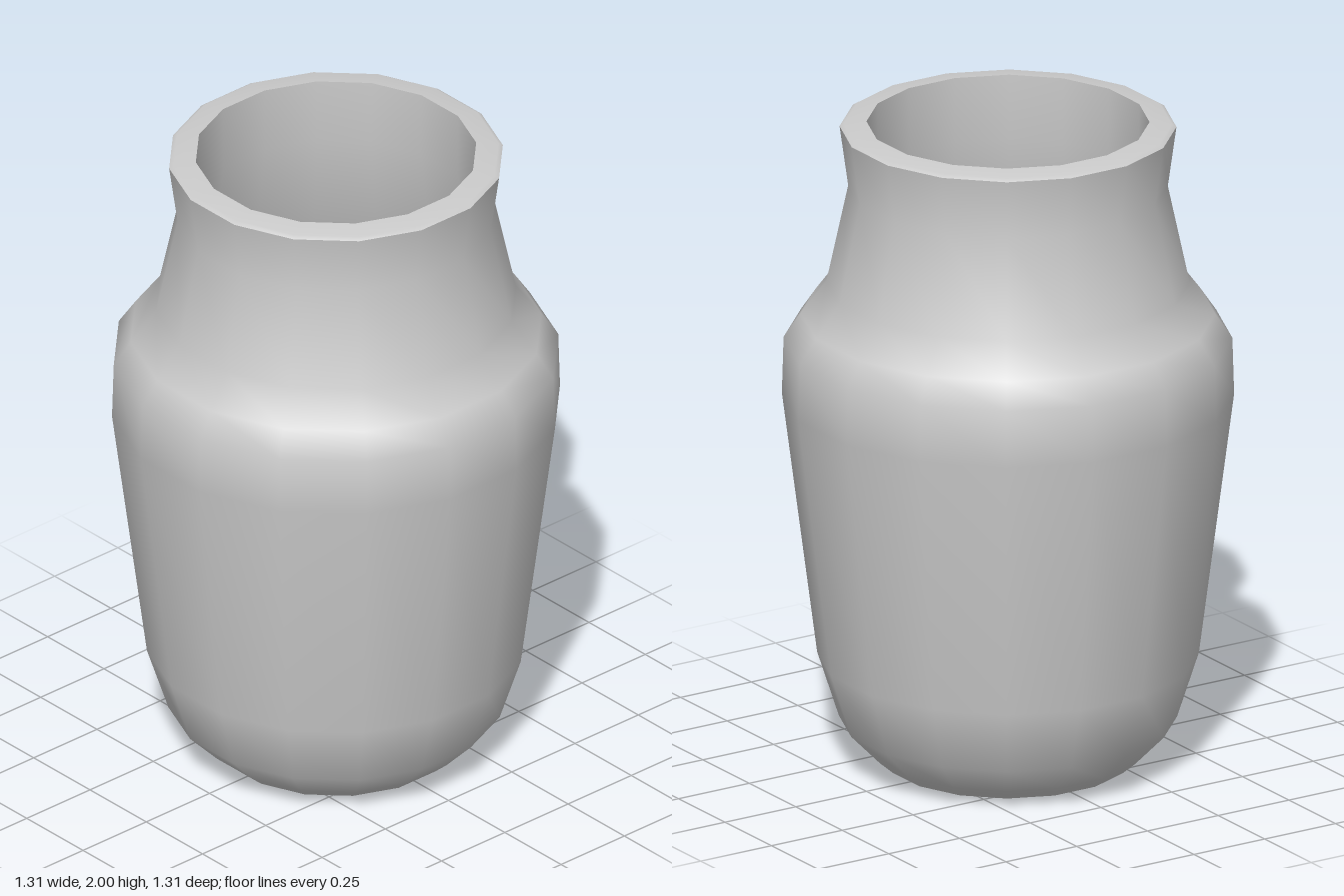
import * as THREE from 'three';

const SIDES = 16;
// Flats face the axes, so the corner radius is a little larger than the half width.
const CORNER = 1 / Math.cos(Math.PI / SIDES);

function turned(name, profile, material) {
  const points = profile.map(([r, y]) => new THREE.Vector2(r * CORNER, y));
  const mesh = new THREE.Mesh(
    new THREE.LatheGeometry(points, SIDES, Math.PI / SIDES), material);
  mesh.name = name;
  return mesh;
}

export function createModel() {
  const group = new THREE.Group();
  group.name = 'jar';
  const clay = new THREE.MeshStandardMaterial({ color: 0xcccccc });

  // flat foot
  group.add(turned('base', [[0, 0], [0.33, 0], [0.36, 0.01]], clay));

  // body, shoulder and flared neck
  group.add(turned('outerWall', [
    [0.36, 0.01], [0.4, 0.045], [0.49, 0.14], [0.553, 0.34], [0.655, 1.15],
    [0.65, 1.325], [0.6, 1.4], [0.526, 1.5], [0.463, 1.8], [0.488, 1.985],
  ], clay));

  // rim sloping up slightly to the mouth
  group.add(turned('rim', [[0.488, 1.985], [0.475, 1.993], [0.41, 2]], clay));

  // hollow inside, following the outer shape down to the floor
  group.add(turned('innerWall', [
    [0.41, 2], [0.408, 1.8], [0.45, 1.5], [0.53, 1.38], [0.575, 1.3],
    [0.58, 1.15], [0.48, 0.36], [0.42, 0.18], [0.34, 0.09], [0, 0.08],
  ], clay));

  return group;
}
